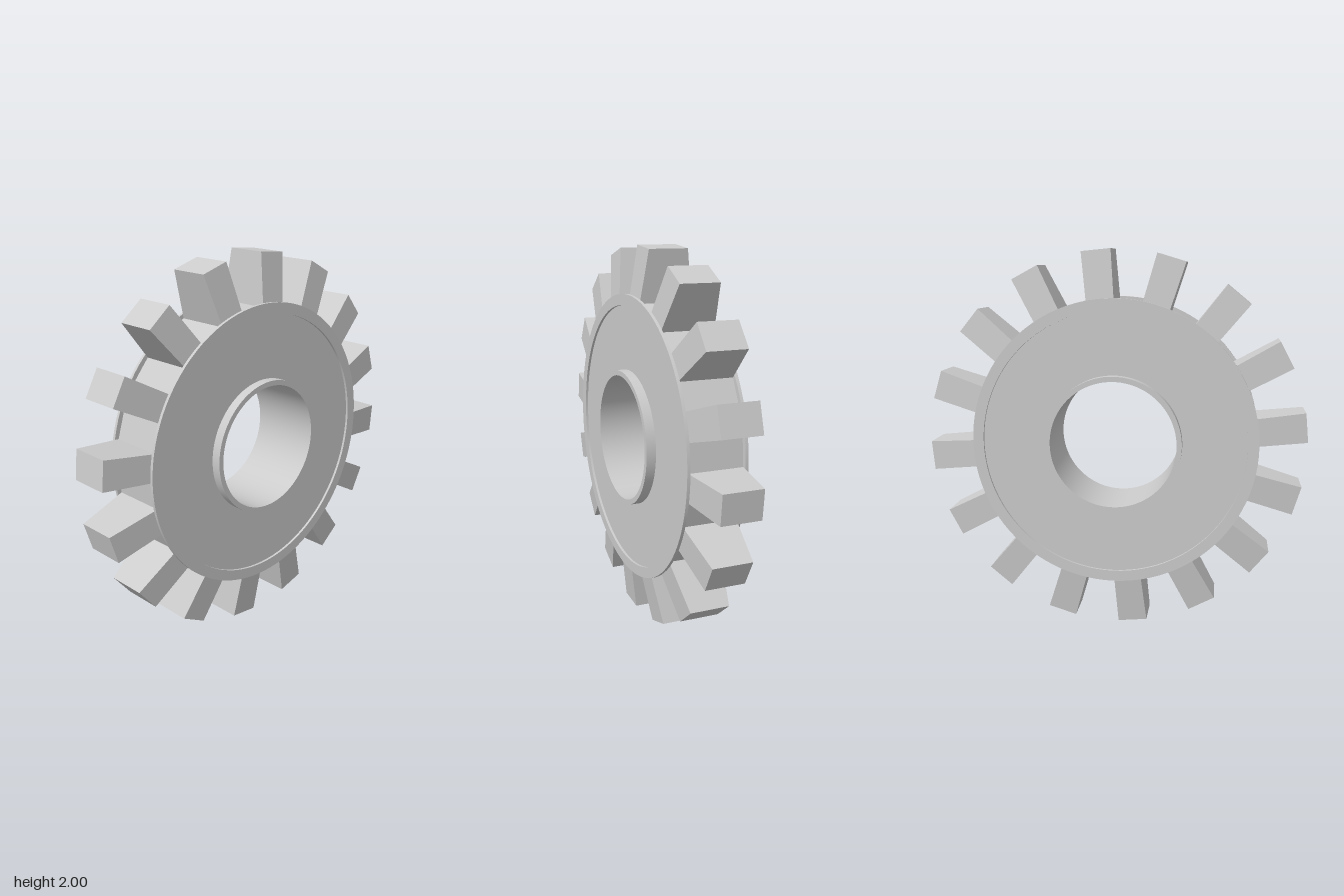
import * as THREE from 'three';
import { toCreasedNormals } from 'three/addons/utils/BufferGeometryUtils.js';

const TEETH = 16;
const RIM_R = 0.73;
const FLAT_R = RIM_R * Math.cos(Math.PI / 32); // distance to a rim facet

const mat = new THREE.MeshStandardMaterial({ color: 0xcccccc });
const flat = new THREE.MeshStandardMaterial({ color: 0xcccccc, flatShading: true });

function add(group, name, geometry, material = mat) {
  const mesh = new THREE.Mesh(geometry, material);
  mesh.name = name;
  group.add(mesh);
  return mesh;
}

// Rectangular-section ring around the x axis
function ring(inner, outer, x0, x1) {
  const points = [[inner, x0], [outer, x0], [outer, x1], [inner, x1], [inner, x0]]
    .map(([r, h]) => new THREE.Vector2(r, h));
  const geometry = new THREE.LatheGeometry(points, 96);
  geometry.rotateZ(-Math.PI / 2);
  return toCreasedNormals(geometry, 0.6);
}

// Block that narrows across the wheel and widens slightly along it
function toothGeometry() {
  const geometry = new THREE.BoxGeometry(2, 0.997 - FLAT_R, 2);
  const p = geometry.attributes.position;
  for (let i = 0; i < p.count; i++) {
    const tip = p.getY(i) > 0;
    p.setX(i, p.getX(i) * (tip ? 0.105 : 0.142));
    p.setZ(i, p.getZ(i) * (tip ? 0.077 : 0.0715));
  }
  geometry.translate(0, (0.997 + FLAT_R) / 2, 0);
  geometry.computeVertexNormals();
  return geometry;
}

export function createModel() {
  const group = new THREE.Group();
  group.name = 'gearWheel';
  const wheel = new THREE.Group();
  wheel.name = 'wheel';
  wheel.position.y = 1;
  group.add(wheel);

  // Hub sleeve with open bore, and the disc around it
  add(wheel, 'hub', ring(0.331, 0.358, -0.195, 0.195));
  add(wheel, 'disc', ring(0.35, 0.71, -0.145, 0.145));

  // Raised edge flanges on both sides
  add(wheel, 'leftFlange', ring(0.695, 0.752, 0.142, 0.158));
  add(wheel, 'rightFlange', ring(0.695, 0.752, -0.158, -0.142));

  // Faceted rim between the flanges
  const rim = new THREE.CylinderGeometry(RIM_R, RIM_R, 0.284, 32, 1, true);
  rim.rotateZ(Math.PI / 2);
  add(wheel, 'rim', rim, flat);

  // Teeth on every second rim facet
  const tooth = toothGeometry();
  for (let i = 0; i < TEETH; i++) {
    add(wheel, 'tooth', tooth, flat).rotation.x = -(i + 0.25) * Math.PI * 2 / TEETH;
  }
  return group;
}
